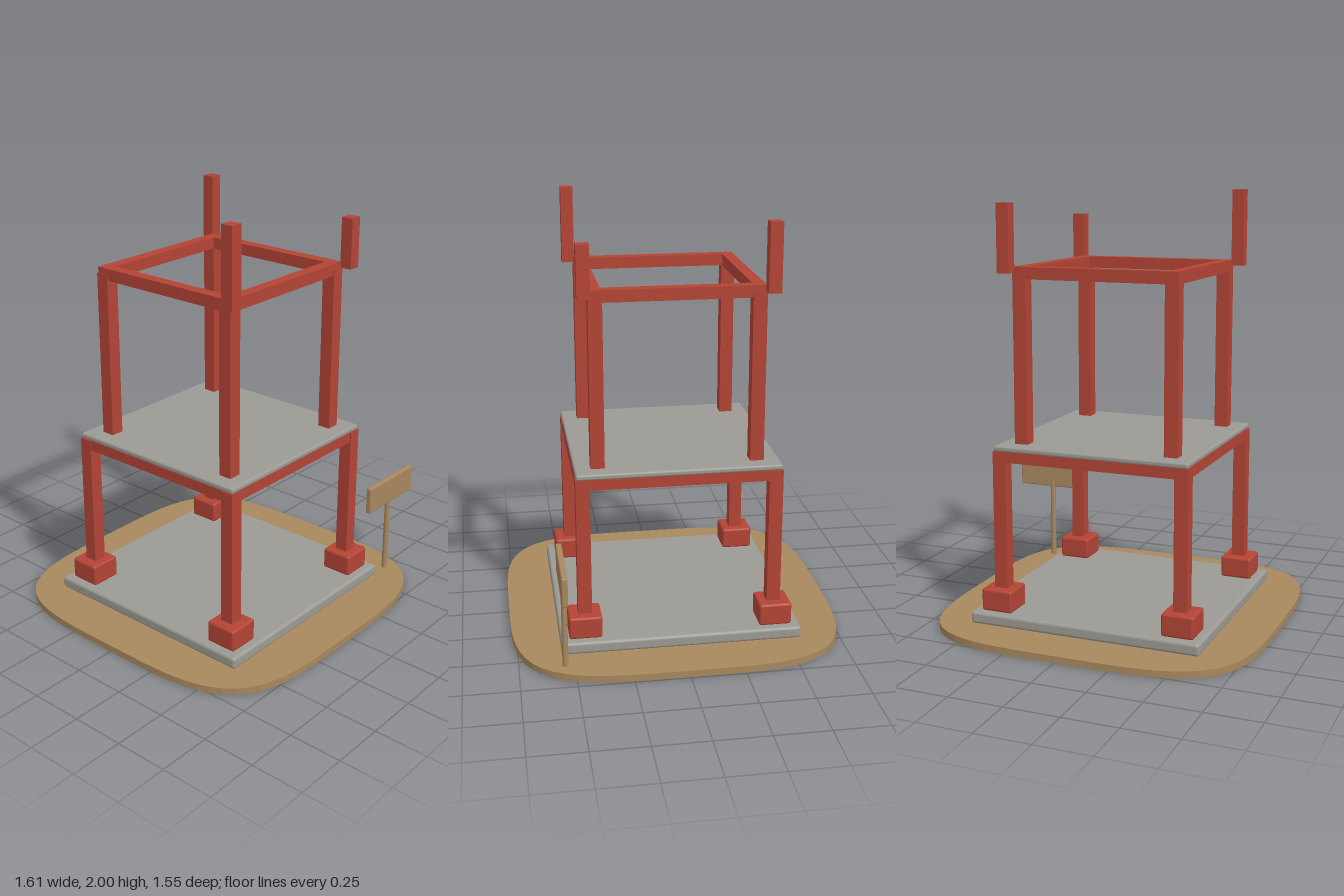
import * as THREE from 'three';
import { RoundedBoxGeometry } from 'three/addons/geometries/RoundedBoxGeometry.js';

export function createModel() {
  const model = new THREE.Group();
  model.name = 'towerFrame';
  const material = (name, color) => {
    const m = new THREE.MeshStandardMaterial({ color });
    m.name = name;
    return m;
  };
  const red = material('redPaint', 0xb34435);
  const grey = material('greyConcrete', 0x9c9a93);
  const sand = material('sandBrown', 0xa8885e);

  const add = (parent, name, geometry, mat, x, y, z) => {
    const mesh = new THREE.Mesh(geometry, mat);
    mesh.name = name;
    mesh.position.set(x, y, z);
    parent.add(mesh);
    return mesh;
  };
  // Box given by its bottom height and top height; rounded when r > 0
  const box = (parent, name, mat, w, d, y0, y1, x, z, r = 0) => {
    const h = y1 - y0;
    const g = r ? new RoundedBoxGeometry(w, h, d, 3, r) : new THREE.BoxGeometry(w, h, d);
    return add(parent, name, g, mat, x, (y0 + y1) / 2, z);
  };

  // The structure stands slightly left of the origin because of the sign
  const tower = new THREE.Group();
  tower.name = 'tower';
  tower.position.x = -0.03;
  model.add(tower);

  // Ground patch: a squircle outline
  const outline = [];
  for (let i = 0; i < 96; i++) {
    const a = (i / 96) * Math.PI * 2;
    const c = Math.cos(a), s = Math.sin(a);
    const r = 0.775 / Math.pow(c ** 4 + s ** 4, 0.25);
    outline.push(new THREE.Vector2(r * c, r * s));
  }
  const ground = new THREE.ExtrudeGeometry(new THREE.Shape(outline), { depth: 0.032, bevelEnabled: false });
  ground.rotateX(-Math.PI / 2);
  add(tower, 'ground', ground, sand, 0, 0, 0);

  // Foundation slab and middle deck
  box(tower, 'foundationSlab', grey, 1.11, 1.11, 0.03, 0.087, 0, 0, 0.015);
  box(tower, 'deck', grey, 0.935, 0.935, 0.833, 0.86, 0, 0, 0.01);

  // Footings and the two tiers of posts
  for (const sx of [-1, 1]) {
    for (const sz of [-1, 1]) {
      box(tower, 'footing', red, 0.152, 0.152, 0.085, 0.19, sx * 0.44, sz * 0.44, 0.012);
      box(tower, 'lowerPost', red, 0.063, 0.063, 0.18, 0.834, sx * 0.438, sz * 0.438);
      box(tower, 'upperPost', red, 0.063, 0.063, 0.855, 1.64, sx * 0.362, sz * 0.362);
    }
  }

  // Square ring of beams on each tier
  const beamRing = (name, offset, width, y0, y1) => {
    const long = 2 * offset + width, short = 2 * offset - width;
    for (const s of [-1, 1]) {
      box(tower, name, red, long, width, y0, y1, 0, s * offset);
      box(tower, name, red, width, short, y0, y1, s * offset, 0);
    }
  };
  beamRing('lowerBeam', 0.438, 0.055, 0.785, 0.835);
  beamRing('upperBeam', 0.362, 0.055, 1.613, 1.668);

  // Unfinished posts of uneven height; the back right corner has none
  for (const [sx, sz, top] of [[-1, 1, 2], [1, 1, 1.875], [1, -1, 1.95]]) {
    box(tower, 'stubPost', red, 0.058, 0.058, 1.64, top, sx * 0.415, sz * 0.415);
  }

  // Blank sign on a thin post
  const sign = new THREE.Group();
  sign.name = 'sign';
  model.add(sign);
  add(sign, 'signPost', new THREE.CylinderGeometry(0.0135, 0.0135, 0.42, 16), sand, 0.615, 0.238, 0.545);
  box(sign, 'signBoard', sand, 0.37, 0.027, 0.41, 0.542, 0.615, 0.551, 0.006);

  return model;
}
